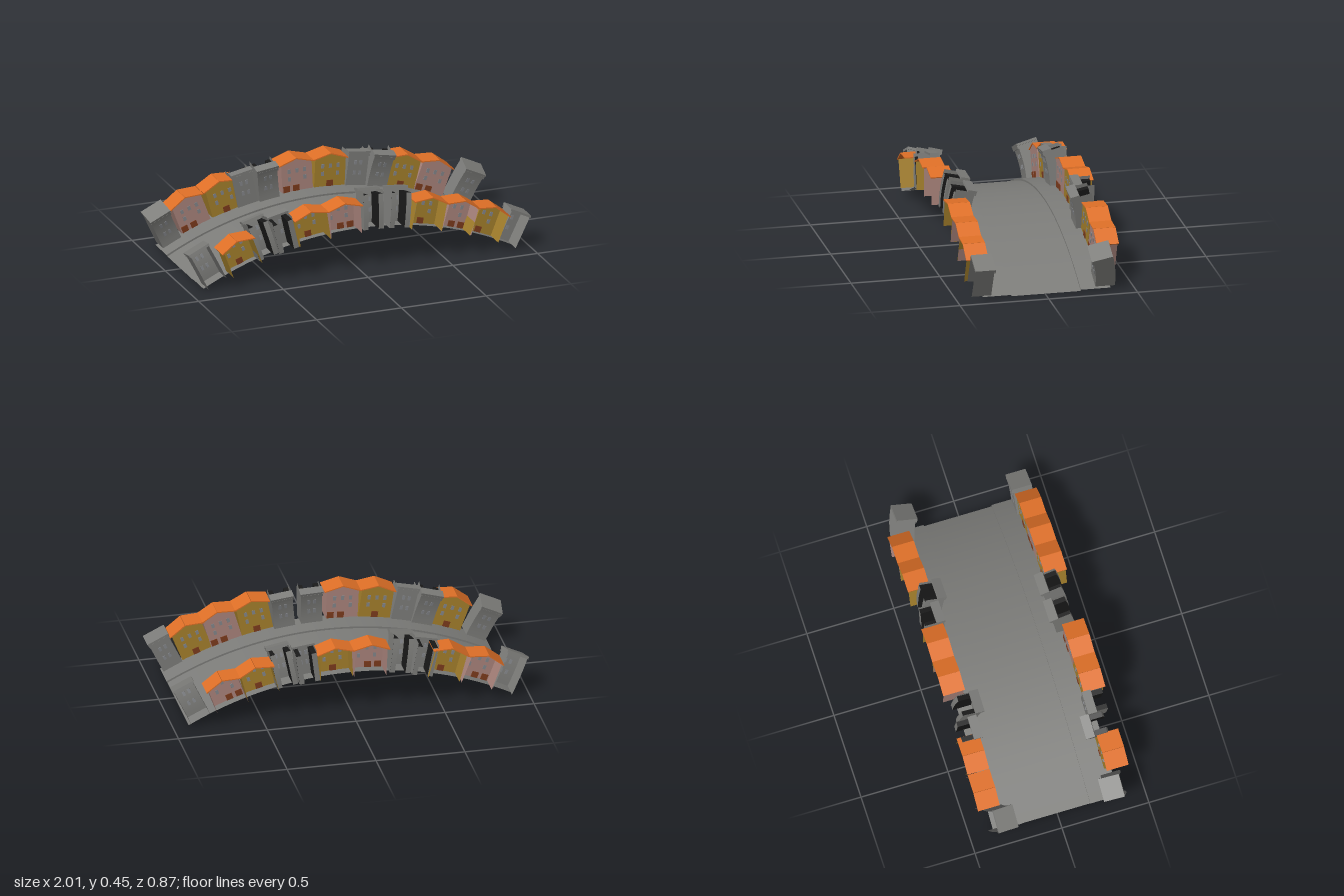
import * as THREE from 'three';

const mat = (name, color) => {
  const m = new THREE.MeshStandardMaterial({ color });
  m.name = name;
  m.side = THREE.DoubleSide;
  return m;
};

export function createModel() {
  const stone = mat('stone grey', 0x7d7d7a);
  const dark = mat('dark inside', 0x191919);
  const yellow = mat('ochre plaster', 0xa5802c);
  const pink = mat('pink plaster', 0xaa847c);
  const orange = mat('orange tile', 0xe07027);
  const brown = mat('brown door', 0x7d3b1c);
  const pane = mat('grey window', 0x84868a);

  const R = 1.935, CY = -1.704, A = 0.489; // arc radius, centre height, half angle
  const model = new THREE.Group();
  model.name = 'curvedStreet';

  const add = (parent, name, geo, material, x = 0, y = 0, z = 0) => {
    const m = new THREE.Mesh(geo, material);
    m.name = name;
    m.position.set(x, y, z);
    parent.add(m);
    return m;
  };

  // Arched road and raised pavements, as thin curved sheets
  const arcSheet = (name, r, z0, z1) => {
    const g = new THREE.CylinderGeometry(r, r, z1 - z0, 48, 1, true, -A, 2 * A);
    g.rotateX(-Math.PI / 2);
    add(model, name, g, stone, 0, CY, (z0 + z1) / 2);
  };
  arcSheet('road', R, -0.2, 0.19);
  arcSheet('frontPavement', R + 0.01, 0.19, 0.353);
  arcSheet('backPavement', R + 0.01, -0.367, -0.2);
  for (const z of [-0.2, 0.19]) {
    const g = new THREE.RingGeometry(R, R + 0.01, 48, 1, Math.PI / 2 - A, 2 * A);
    add(model, 'kerb', g, stone, 0, CY, z);
  }

  // Plastered house: facade on z = 0 facing +z, open at the rear
  function gabledHouse(wall) {
    const g = new THREE.Group();
    const w = 0.18, h = 0.16, peak = 0.188, d = 0.115;
    const s = new THREE.Shape();
    s.moveTo(-w / 2, 0);
    s.lineTo(w / 2, 0);
    s.lineTo(w / 2, h);
    s.lineTo(0, peak);
    s.lineTo(-w / 2, h);
    add(g, 'facade', new THREE.ShapeGeometry(s), wall);
    for (const side of [-1, 1]) {
      const p = new THREE.PlaneGeometry(d, h);
      p.rotateY(side * Math.PI / 2);
      add(g, 'sideWall', p, wall, side * w / 2, h / 2, -d / 2);
      // sloping roof half with a small overhang
      const run = w / 2 + 0.013, drop = (peak - h) * run / (w / 2);
      const roof = new THREE.BoxGeometry(Math.hypot(run, drop), 0.006, d + 0.01);
      const m = add(g, 'roof', roof, orange, side * run / 2, peak + 0.003 - drop / 2, -d / 2);
      m.rotation.z = -side * Math.atan2(drop, run);
    }
    // thin panes and doors showing on both faces of the facade
    const panes = [[-0.045, 0.075], [0.045, 0.075], [-0.045, 0.12], [0, 0.12], [0.045, 0.12]];
    for (const [x, y] of panes)
      add(g, 'window', new THREE.BoxGeometry(0.017, 0.024, 0.006), pane, x, y, 0);
    // ochre houses have one central door, pink ones a pair
    const doors = wall === yellow ? [0] : [-0.065, -0.008];
    for (const x of doors)
      add(g, 'door', new THREE.BoxGeometry(0.038, 0.036, 0.007), brown, x, 0.018, 0);
    return g;
  }

  // Narrow stone house, open at the rear; the leaning kind bows over the street
  function stoneHouse(leaning, end) {
    const g = new THREE.Group();
    const w = 0.118, h = 0.19, d = 0.11;
    const bend = (geo) => {
      if (!leaning) return geo;
      const p = geo.attributes.position;
      for (let i = 0; i < p.count; i++) {
        const t = p.getY(i) / h, z = p.getZ(i);
        p.setY(i, p.getY(i) - z * 0.25 * t);
        p.setZ(i, z + 0.03 * t * t);
      }
      geo.computeVertexNormals();
      return geo;
    };
    const front = new THREE.PlaneGeometry(w, h, 1, 6).translate(0, h / 2, 0);
    add(g, 'facade', bend(front), stone);
    for (const side of [-1, 1]) {
      const p = new THREE.PlaneGeometry(d, h, 1, 6);
      p.rotateY(side * Math.PI / 2).translate(side * w / 2, h / 2, -d / 2);
      add(g, 'sideWall', bend(p), stone);
      if (!end) {
        // dark inner pier with a stone rear face
        const pier = new THREE.BoxGeometry(0.028, h - 0.018, d - 0.004, 1, 6, 1);
        pier.translate(side * (w / 2 - 0.015), (h - 0.018) / 2, -d / 2);
        add(g, 'innerPier', bend(pier), [dark, dark, dark, dark, stone, stone]);
      }
    }
    // flat roof, only a short canopy on houses within the row
    const depth = end ? d + 0.005 : 0.05;
    const cap = new THREE.BoxGeometry(w + 0.012, 0.012, depth);
    cap.translate(0, h + 0.004, 0.006 - depth / 2);
    add(g, 'roof', bend(cap), stone);
    const lip = new THREE.BoxGeometry(w + 0.006, 0.016, 0.008).translate(0, h - 0.01, 0.003);
    add(g, 'cornice', bend(lip), stone);
    for (const x of [-0.016, 0.016])
      for (const y of [0.075, 0.135]) {
        const win = new THREE.BoxGeometry(0.015, 0.024, 0.006).translate(x, y, 0);
        add(g, 'window', bend(win), pane);
      }
    return g;
  }

  // Rows of houses: kind and angle along the arc in degrees
  // S = leaning stone, T = upright stone, Y = ochre, P = pink
  const rows = [
    { name: 'frontRow', sign: 1, kinds: 'SYSTYPSSYPYT',
      angles: [-25.8, -20.5, -16.2, -12.8, -8.3, -2.9, 2.2, 6.7, 11.1, 16.4, 21.5, 26] },
    { name: 'backRow', sign: -1, kinds: 'SPYTSPYTSYPS',
      angles: [-25.8, -20.9, -15.2, -11.6, -8, -2.8, 2.7, 7.1, 10.7, 15, 20.3, 25.8] },
  ];
  for (const { name, sign, kinds, angles } of rows) {
    const row = new THREE.Group();
    row.name = name;
    model.add(row);
    angles.forEach((deg, i) => {
      const k = kinds[i], stoneKind = k === 'S' || k === 'T';
      const house = stoneKind
        ? stoneHouse(k === 'S', i === 0 || i === 11)
        : gabledHouse(k === 'Y' ? yellow : pink);
      house.name = stoneKind ? 'stoneHouse' : 'gabledHouse';
      house.position.set(0, R + 0.008, sign * (k === 'S' ? 0.285 : k === 'T' ? 0.303 : 0.315));
      if (sign > 0) house.rotation.y = Math.PI;
      const pivot = new THREE.Group();
      pivot.name = 'housePlace';
      pivot.position.y = CY;
      pivot.rotation.z = -THREE.MathUtils.degToRad(deg);
      pivot.add(house);
      row.add(pivot);
    });
  }
  return model;
}
